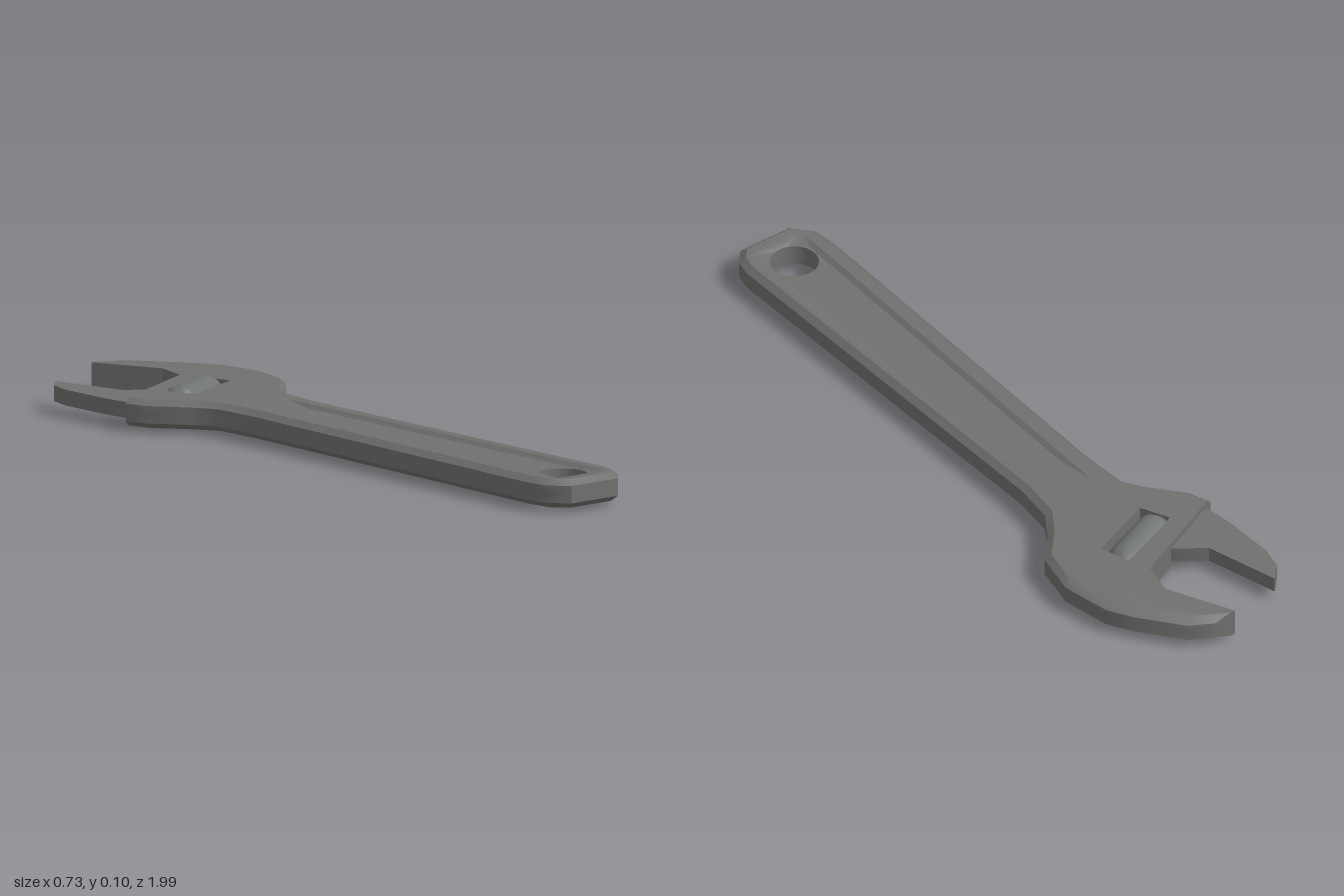
import * as THREE from 'three';
import { toCreasedNormals } from 'three/addons/utils/BufferGeometryUtils.js';

// Collects triangles and their mirror image below the mid plane (y = 0).
// Rings are lists of [x, y, z].
class MirroredSolid {
  constructor() { this.pos = []; }

  tri(a, b, c) {
    const m = ([x, y, z]) => [x, -y, z];
    this.pos.push(...a, ...b, ...c, ...m(a), ...m(c), ...m(b));
  }

  // Wall between two rings; clockwise (from above) faces outwards, the other way inwards
  wall(low, high) {
    low.forEach((p, i) => {
      const j = (i + 1) % low.length;
      this.tri(p, high[i], high[j]);
      this.tri(p, high[j], low[j]);
    });
  }

  // Upward-facing sheet with holes
  cap(ring, holes = []) {
    const flat = (r) => r.map(([x, , z]) => new THREE.Vector2(x, z));
    const all = [ring, ...holes].flat();
    for (const [i, j, k] of THREE.ShapeUtils.triangulateShape(flat(ring), holes.map(flat))) {
      const [a, b, c] = [all[i], all[j], all[k]];
      const up = (b[2] - a[2]) * (c[0] - a[0]) - (b[0] - a[0]) * (c[2] - a[2]);
      if (up > 0) this.tri(a, b, c); else this.tri(a, c, b);
    }
  }

  mesh(name, material) {
    const g = new THREE.BufferGeometry();
    g.setAttribute('position', new THREE.Float32BufferAttribute(this.pos, 3));
    const m = new THREE.Mesh(toCreasedNormals(g, THREE.MathUtils.degToRad(36)), material);
    m.name = name;
    return m;
  }
}

const at = (pts, y) => pts.map(([x, z]) => [x, y, z]);

// Move each edge of a clockwise outline inwards by its own amount (third number)
function inset(pts) {
  const edges = pts.map(([x, z, d], i) => {
    const [x2, z2] = pts[(i + 1) % pts.length];
    const l = Math.hypot(x2 - x, z2 - z);
    const n = [-(z2 - z) / l, (x2 - x) / l];
    return { n, d };
  });
  return pts.map(([x, z], i) => {
    const e = edges[(i + pts.length - 1) % pts.length], f = edges[i];
    const det = e.n[0] * f.n[1] - e.n[1] * f.n[0];
    if (Math.abs(det) < 0.05) return [x + f.n[0] * f.d, z + f.n[1] * f.d];
    return [x + (e.d * f.n[1] - f.d * e.n[1]) / det, z + (f.d * e.n[0] - e.d * f.n[0]) / det];
  });
}

export function createModel() {
  const steel = new THREE.MeshStandardMaterial({ color: 0x72706e });
  steel.name = 'dark steel';
  const screwSteel = new THREE.MeshStandardMaterial({ color: 0x6f7371 });
  screwSteel.name = 'screw steel';

  const group = new THREE.Group();
  group.name = 'adjustableWrench';
  const H = 0.038; // half thickness of the body
  const B = 0.018; // edge bevel

  // Body: fixed jaw, head and handle as one outline of [x, z, bevel]
  const outline = [
    [-0.18, -0.99, 0], [-0.12, -1.0, 0.02], [-0.05, -0.98, 0.03], [0.06, -0.89, 0.03],
    [0.115, -0.83, 0.022], [0.17, -0.7, B], [0.17, -0.57, B], [0.12, -0.48, B],
    [0.09, -0.4, B], [0.1, -0.28, B], [0.36, 0.86, B], [0.36, 0.91, B],
    [0.335, 0.955, B], [0.18, 0.99, B], [0.125, 0.95, B], [0.1, 0.88, B],
    [-0.115, -0.22, B], [-0.15, -0.35, B], [-0.2, -0.4, B], [-0.29, -0.47, B],
    [-0.325, -0.525, 0], [-0.055, -0.735, 0], [-0.055, -0.83, 0],
  ];
  const body = new MirroredSolid();
  const top = at(inset(outline), H);
  const shoulder = at(outline, H - 0.015);
  body.wall(at(outline, 0), shoulder);
  body.wall(shoulder, top);

  // Slot for the screw
  const slot = [[-0.193, -0.56], [-0.14, -0.49], [0.025, -0.605], [-0.02, -0.68]];
  body.wall(at(slot, 0), at(slot, H));

  // Shallow panel along the handle, running out to the surface at both ends
  const side = (x0, z0, x1, z1, ramp) => [0, 0.08, 0.95, 1].map((t, i) => {
    const deep = i === 1 || i === 2;
    const x = x0 + (x1 - x0) * t, z = z0 + (z1 - z0) * t;
    return { rim: [x, H, z], floor: [x + (deep ? ramp : 0), deep ? H - 0.01 : H, z] };
  });
  const panel = [
    ...side(-0.075, -0.32, 0.165, 0.945, 0.013),
    ...side(0.04, -0.32, 0.325, 0.91, -0.013).reverse(),
  ];
  const rim = panel.map((p) => p.rim), floor = panel.map((p) => p.floor);
  body.wall(floor, rim);

  // Hanging hole
  const hole = Array.from({ length: 20 }, (_, i) => {
    const a = -i / 20 * Math.PI * 2;
    return [0.229 + 0.064 * Math.cos(a), 0.85 + 0.064 * Math.sin(a)];
  });
  body.wall(at(hole, 0), at(hole, H - 0.01));
  body.cap(floor, [at(hole, H - 0.01)]);
  body.cap(top, [at(slot, H), rim]);
  group.add(body.mesh('body', steel));

  // Sliding jaw, thinner than the body and seated in it
  const jawOutline = [
    [-0.34, -0.89], [-0.24, -0.7], [-0.145, -0.66], [-0.13, -0.64],
    [-0.29, -0.52], [-0.305, -0.54], [-0.335, -0.625], [-0.37, -0.77], [-0.37, -0.84],
  ];
  const jaw = new MirroredSolid();
  jaw.wall(at(jawOutline, 0), at(jawOutline, 0.021));
  jaw.cap(at(jawOutline, 0.021));
  group.add(jaw.mesh('slidingJaw', steel));

  // Adjusting screw lying in the slot
  const profile = [[0, -0.1], [0.036, -0.1], [0.05, -0.08], [0.05, 0.08], [0.036, 0.1], [0, 0.1]]
    .map(([r, h]) => new THREE.Vector2(r, h));
  const screw = new THREE.Mesh(
    toCreasedNormals(new THREE.LatheGeometry(profile, 20), 0.5), screwSteel);
  screw.name = 'adjustingScrew';
  screw.position.set(-0.09, 0, -0.596);
  screw.quaternion.setFromUnitVectors(
    new THREE.Vector3(0, 1, 0), new THREE.Vector3(0.82, 0, -0.57).normalize());
  group.add(screw);

  group.children.forEach((m) => { m.position.y = 0.05; });
  return group;
}
